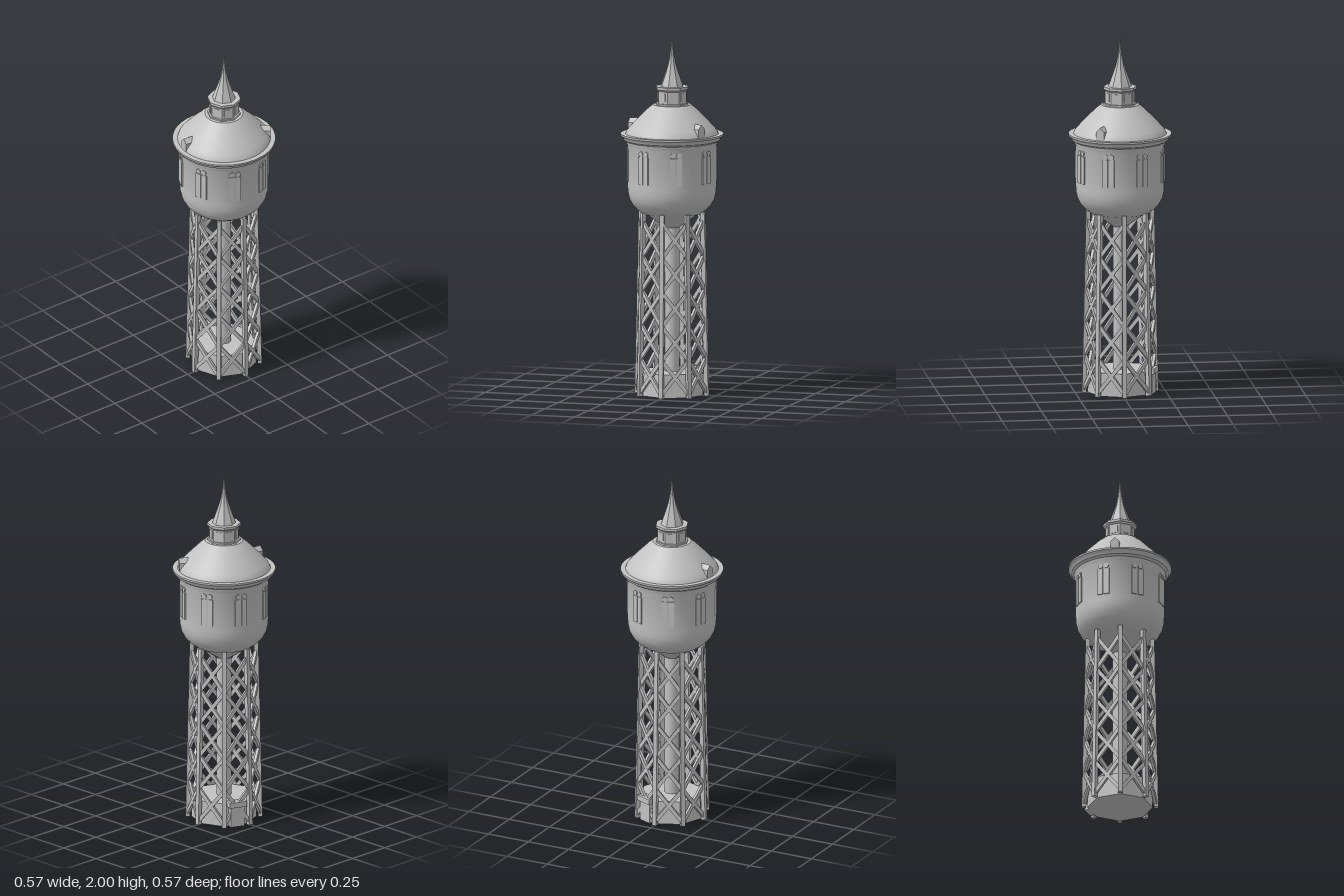
import * as THREE from 'three';
import { toCreasedNormals } from 'three/addons/utils/BufferGeometryUtils.js';

export function createModel() {
  const model = new THREE.Group();
  model.name = 'waterTower';
  const grey = new THREE.MeshStandardMaterial({ color: 0xc2c2c2 });
  grey.name = 'paleGrey';

  const add = (name, geometry, parent = model) => {
    const mesh = new THREE.Mesh(geometry, grey);
    mesh.name = name;
    parent.add(mesh);
    return mesh;
  };
  const group = (name) => {
    const g = new THREE.Group();
    g.name = name;
    model.add(g);
    return g;
  };
  const lathe = (points, sides, crease) => toCreasedNormals(
    new THREE.LatheGeometry(points.map(([r, y]) => new THREE.Vector2(r, y)), sides), crease);
  // point at an angle from the front, on a circle
  const polar = (angle, r, y) => new THREE.Vector3(r * Math.sin(angle), y, r * Math.cos(angle));
  // rectangular bar between two points, its depth facing outward
  const beam = (name, a, b, width, depth, parent) => {
    const dir = b.clone().sub(a);
    const mesh = add(name, new THREE.BoxGeometry(width, dir.length(), depth), parent);
    const y = dir.normalize();
    const mid = a.clone().add(b).multiplyScalar(0.5);
    const x = new THREE.Vector3().crossVectors(y, new THREE.Vector3(mid.x, 0, mid.z)).normalize();
    const z = new THREE.Vector3().crossVectors(x, y);
    mesh.quaternion.setFromRotationMatrix(new THREE.Matrix4().makeBasis(x, y, z));
    mesh.position.copy(mid);
  };
  const eighth = Math.PI / 4;

  // Octagonal base room and central pipe
  const base = new THREE.CylinderGeometry(0.175, 0.18, 0.13, 8);
  base.translate(0, 0.065, 0);
  add('baseRoom', toCreasedNormals(base, 0.3));
  const pipe = new THREE.CylinderGeometry(0.04, 0.04, 0.85, 24);
  pipe.translate(0, 0.54, 0);
  add('centralPipe', pipe);

  // Lattice frame: eight leaning posts with crossed braces in every bay
  const frame = group('latticeFrame');
  const radiusAt = (y) => 0.2 - 0.022 * y;
  const step = 0.19;
  for (let i = 0; i < 8; i++) {
    const a = i * eighth, b = a + eighth;
    beam('post', polar(a, radiusAt(0), 0), polar(a, radiusAt(1.02), 1.02), 0.024, 0.024, frame);
    for (let k = 0; k < 5; k++) {
      const low = 0.02 + k * step, high = low + step;
      beam('brace', polar(a, radiusAt(low), low), polar(b, radiusAt(high), high), 0.021, 0.016, frame);
      beam('brace', polar(b, radiusAt(low), low), polar(a, radiusAt(high), high), 0.021, 0.016, frame);
    }
  }

  // Entrance in one rear bay
  const entrance = group('entrance');
  entrance.rotation.y = 3.5 * eighth;
  add('doorBlock', new THREE.BoxGeometry(0.08, 0.115, 0.04), entrance).position.set(0, 0.0575, 0.175);
  add('doorCanopy', new THREE.BoxGeometry(0.1, 0.03, 0.055), entrance).position.set(0, 0.13, 0.18);

  // Tank with a rounded bottom and a moulded cornice
  add('tank', lathe([
    [0, 0.925], [0.04, 0.93], [0.135, 0.998], [0.165, 1.01], [0.195, 1.033], [0.218, 1.058],
    [0.235, 1.09], [0.243, 1.125], [0.245, 1.16], [0.245, 1.385], [0.25, 1.395], [0.253, 1.41],
    [0.268, 1.42], [0.272, 1.432], [0.284, 1.442], [0.284, 1.452], [0.25, 1.452],
  ], 64, 0.6));

  // Domed roof with a flat top
  add('roof', lathe([
    [0.257, 1.45], [0.25, 1.467], [0.235, 1.485], [0.203, 1.52], [0.168, 1.555], [0.135, 1.588],
    [0.105, 1.613], [0, 1.613],
  ], 64, 0.6));

  // Paired windows with round lights above
  const windows = group('tankWindows');
  for (let i = 0; i < 8; i++) {
    const bay = new THREE.Group();
    bay.name = 'windowPair';
    bay.rotation.y = (i + 0.5) * eighth;
    windows.add(bay);
    for (const side of [-1, 1]) {
      add('windowPane', new THREE.BoxGeometry(0.031, 0.155, 0.009), bay).position.set(side * 0.0185, 1.268, 0.245);
      const light = add('roundLight', new THREE.CylinderGeometry(0.014, 0.014, 0.009, 16), bay);
      light.rotation.x = Math.PI / 2;
      light.position.set(side * 0.0175, 1.361, 0.245);
    }
  }

  // Gabled dormers
  const gable = new THREE.Shape([[-0.024, 1.452], [0.024, 1.452], [0.024, 1.5], [0, 1.525], [-0.024, 1.5]]
    .map(([x, y]) => new THREE.Vector2(x, y)));
  for (const angle of [Math.atan2(0.215, 0.139), Math.atan2(-0.255, -0.031)]) {
    const body = new THREE.ExtrudeGeometry(gable, { depth: 0.065, bevelEnabled: false });
    body.translate(0, 0, 0.19);
    add('dormer', body).rotation.y = angle;
  }

  // Eight-sided lantern with square windows
  const lantern = group('lantern');
  add('lanternBody', lathe([
    [0.093, 1.612], [0.093, 1.622], [0.083, 1.622], [0.083, 1.69], [0.093, 1.7], [0.093, 1.714], [0, 1.714],
  ], 8, 0.2), lantern);
  for (let i = 0; i < 8; i++) {
    const face = new THREE.Group();
    face.name = 'lanternFace';
    face.rotation.y = (i + 0.5) * eighth;
    lantern.add(face);
    add('lanternWindow', new THREE.BoxGeometry(0.036, 0.046, 0.006), face).position.set(0, 1.658, 0.077);
  }

  // Flared spire
  add('spire', lathe([
    [0.065, 1.713], [0.058, 1.735], [0.047, 1.765], [0.036, 1.795], [0.022, 1.84], [0.012, 1.89],
    [0.005, 1.95], [0, 2],
  ], 8, 0.3));

  return model;
}
